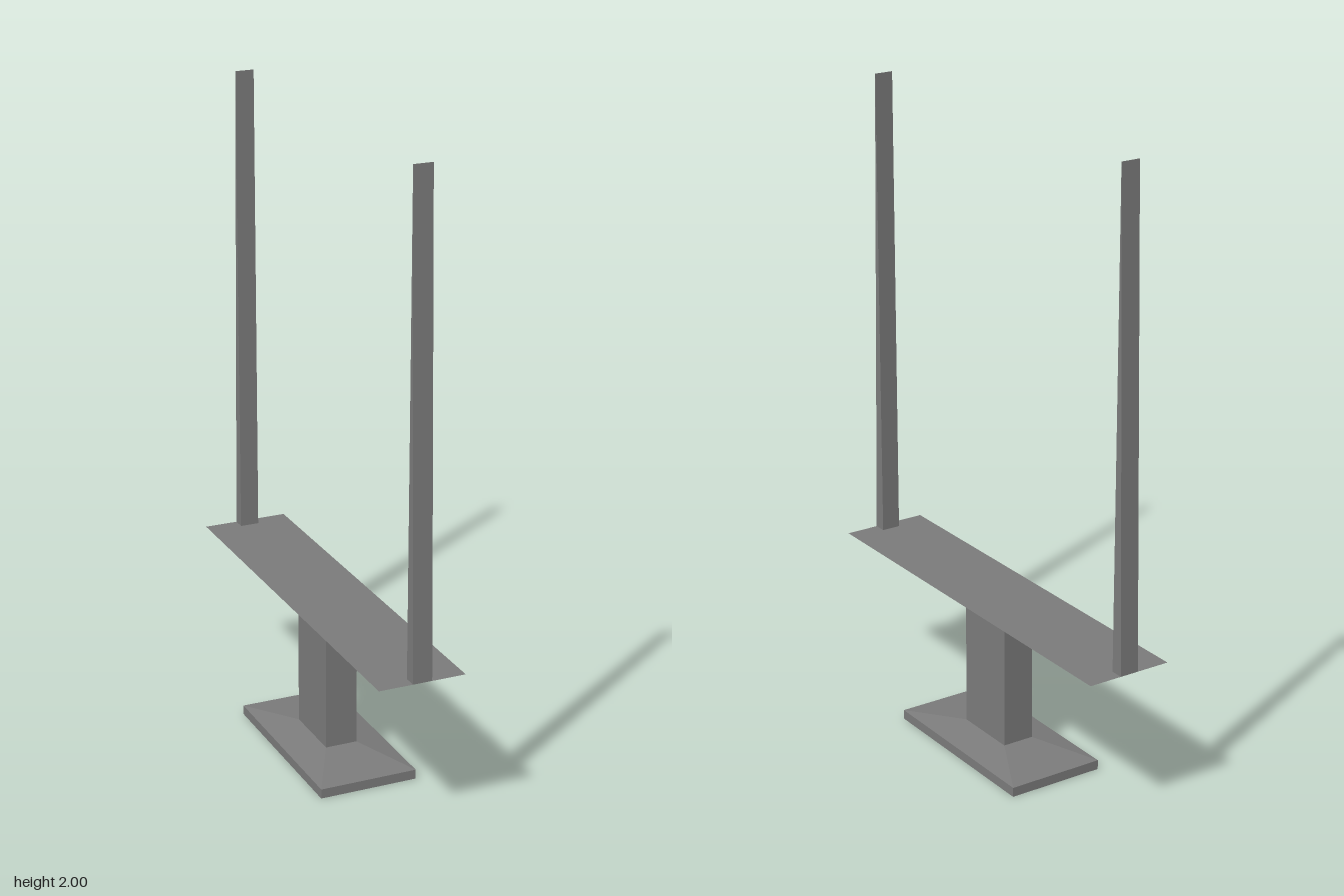
import * as THREE from 'three';

const material = new THREE.MeshStandardMaterial({ color: 0x7b7b7b, flatShading: true });

// Box between two rectangles { y, x: half width, z0, z1 }, each of its own size
function taperedBox(name, bottom, top) {
  const geometry = new THREE.BoxGeometry(1, 1, 1);
  const p = geometry.attributes.position;
  for (let i = 0; i < p.count; i++) {
    const ring = p.getY(i) > 0 ? top : bottom;
    p.setXYZ(i, Math.sign(p.getX(i)) * ring.x, ring.y, p.getZ(i) > 0 ? ring.z1 : ring.z0);
  }
  geometry.computeVertexNormals();
  const mesh = new THREE.Mesh(geometry, material);
  mesh.name = name;
  return mesh;
}

const ring = (y, x, z) => ({ y, x, z0: -z, z1: z });

export function createModel() {
  const model = new THREE.Group();
  model.name = 'twinPostStand';

  // Stepped foot, column and flared crossbar, stacked from the ground up
  model.add(
    taperedBox('footPlate', ring(0, 0.156, 0.307), ring(0.03, 0.156, 0.307)),
    taperedBox('footSlope', ring(0.03, 0.156, 0.307), ring(0.053, 0.051, 0.105)),
    taperedBox('column', ring(0.053, 0.051, 0.105), ring(0.458, 0.051, 0.105)),
    taperedBox('crossbar', ring(0.458, 0.051, 0.105), ring(0.508, 0.136, 0.662)),
  );

  // Upright posts: straight inner face, outer face tapering to a thin edge
  for (const [name, turn] of [['frontPost', 0], ['backPost', Math.PI]]) {
    const post = taperedBox(
      name,
      { y: 0.508, x: 0.03, z0: 0.622, z1: 0.662 },
      { y: 2, x: 0.03, z0: 0.622, z1: 0.623 },
    );
    post.rotation.y = turn;
    model.add(post);
  }
  return model;
}
